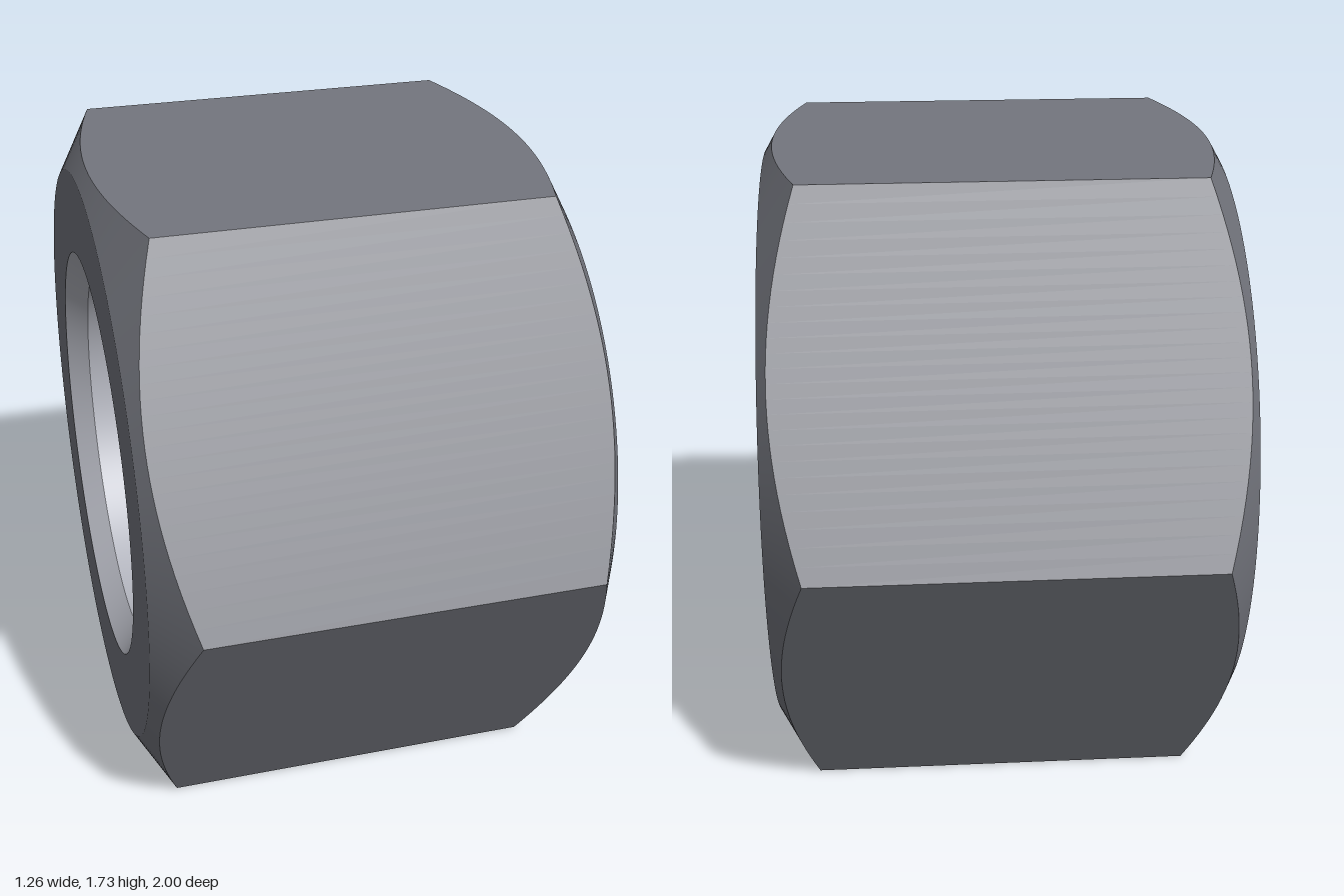
import * as THREE from 'three';
import { toCreasedNormals } from 'three/addons/utils/BufferGeometryUtils.js';

const HALF = 0.63;                     // half the nut's length
const FACE = 0.82;                     // radius of the flat end faces
const BORE = 0.525;                    // hole radius
const SINK = 0.06;                     // 45 degree countersink
const APOTHEM = Math.cos(Math.PI / 6); // centre to flat
const SLOPE = Math.tan(Math.PI / 6);   // 30 degree corner chamfer
const SECTOR = Math.PI / 3;

// distance from the axis to the hexagon at an angle, corners at multiples of 60 degrees
function hexRadius(angle) {
  const a = angle - SECTOR * Math.floor(angle / SECTOR);
  return APOTHEM / Math.cos(a - SECTOR / 2);
}

function lathe(profile) {
  return new THREE.LatheGeometry(profile.map(([r, y]) => new THREE.Vector2(r, y)), 144);
}

// lay the axis along x and stand the part on a flat
function addPart(group, name, geometry, color) {
  geometry.rotateZ(-Math.PI / 2);
  geometry.translate(0, APOTHEM, 0);
  const material = new THREE.MeshStandardMaterial({ color });
  const mesh = new THREE.Mesh(toCreasedNormals(geometry, 0.4), material);
  mesh.name = name;
  group.add(mesh);
}

export function createModel() {
  const group = new THREE.Group();
  group.name = 'hexNut';

  // end face, chamfer, outer wall, chamfer, end face
  const body = lathe([
    [BORE + SINK, -HALF], [FACE, -HALF], [1, -0.5],
    [1, 0.5], [FACE, HALF], [BORE + SINK, HALF],
  ]);

  // press the outer wall into a hexagon, its ends following the chamfer cone
  const pos = body.attributes.position;
  for (let i = 0; i < pos.count; i++) {
    const x = pos.getX(i), y = pos.getY(i), z = pos.getZ(i);
    if (Math.hypot(x, z) < 0.9) continue;
    const angle = Math.atan2(x, z);
    const r = hexRadius(angle);
    const end = HALF - (r - FACE) * SLOPE;
    pos.setXYZ(i, r * Math.sin(angle), Math.sign(y) * end, r * Math.cos(angle));
  }
  addPart(group, 'nutBody', body, 0x74767e);

  // lighter hole with a countersink at each end
  const bore = lathe([
    [BORE + SINK, HALF], [BORE, HALF - SINK],
    [BORE, SINK - HALF], [BORE + SINK, -HALF],
  ]);
  addPart(group, 'bore', bore, 0xb3b5be);
  return group;
}
